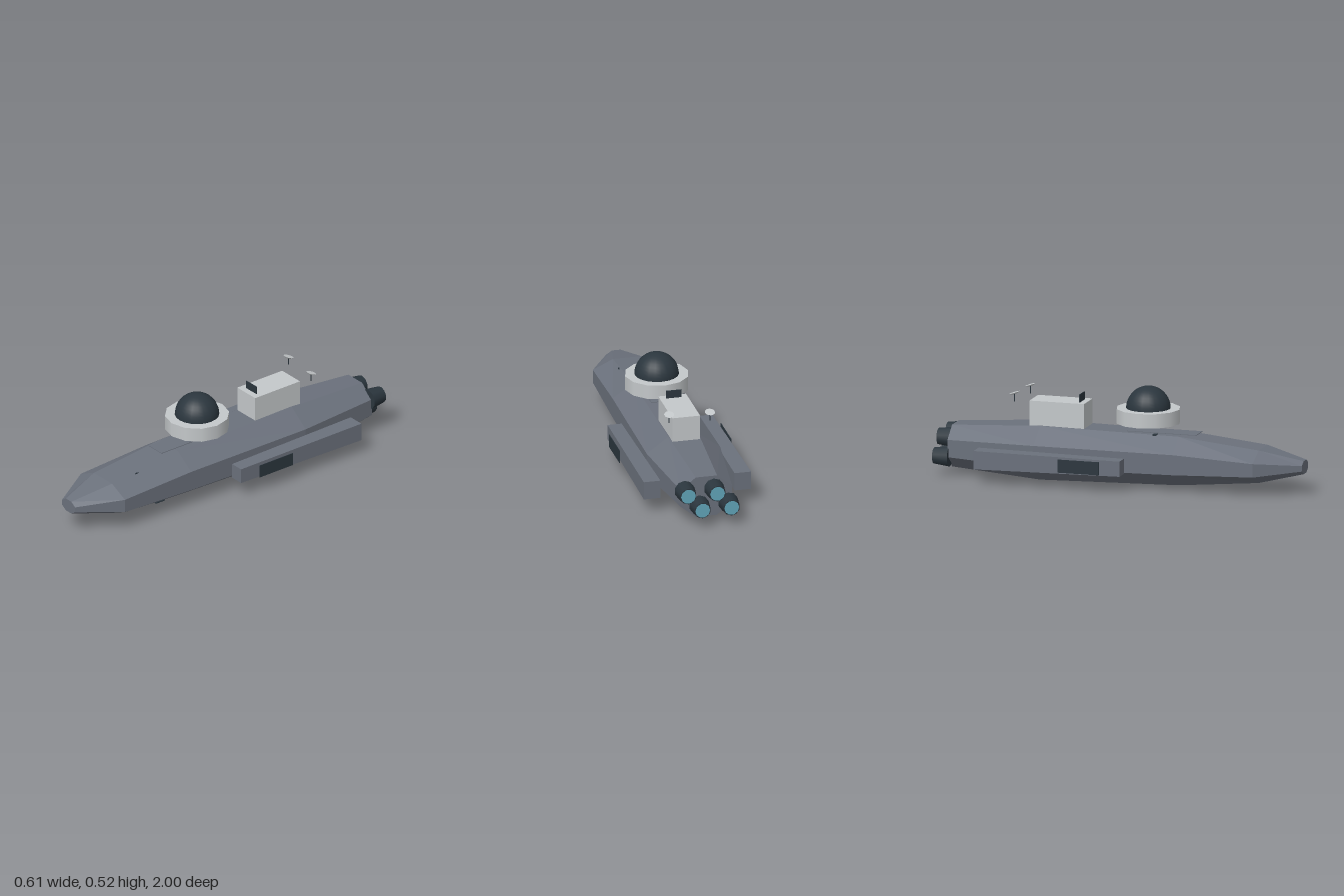
import * as THREE from 'three';

const mat = (name, color, side = THREE.FrontSide) => {
  const m = new THREE.MeshStandardMaterial({ color, side });
  m.name = name;
  return m;
};

// Joins rings of [x, y, z] points, ordered front to back, into a closed faceted body
function loft(rings) {
  const n = rings[0].length, idx = [], last = (rings.length - 1) * n;
  for (let s = 0; s < rings.length - 1; s++) {
    for (let i = 0; i < n; i++) {
      const a = s * n + i, b = s * n + (i + 1) % n, d = a + n, c = b + n;
      idx.push(a, d, b, b, d, c);
    }
  }
  for (let i = 1; i < n - 1; i++) {
    idx.push(0, i, i + 1, last, last + i + 1, last + i);
  }
  const g = new THREE.BufferGeometry();
  g.setAttribute('position', new THREE.Float32BufferAttribute(rings.flat(2), 3));
  g.setIndex(idx);
  const flat = g.toNonIndexed();
  flat.computeVertexNormals();
  return flat;
}

// Octagonal cross-section with flat top and sides
const octagon = ([z, w, h, cy]) => {
  const k = Math.SQRT2 - 1;
  return [[1, -k], [1, k], [k, 1], [-k, 1], [-1, k], [-1, -k], [-k, -1], [k, -1]]
    .map(([x, y]) => [x * w, cy + y * h, z]);
};

const rectangle = (x0, x1, y0, y1, z) => [[x1, y0, z], [x1, y1, z], [x0, y1, z], [x0, y0, z]];

export function createModel() {
  const group = new THREE.Group();
  const hullGrey = mat('hull grey', 0x6b717c);
  const lightGrey = mat('light grey', 0xc4c8ca);
  const dark = mat('dark glass', 0x2b363e);
  const teal = mat('engine glow teal', 0x62a6ba);

  const add = (name, geo, material, x = 0, y = 0, z = 0, parent = group) => {
    const m = new THREE.Mesh(geo, material);
    m.name = name;
    m.position.set(x, y, z);
    parent.add(m);
    return m;
  };
  const box = (name, w, h, d, material, x, y, z) =>
    add(name, new THREE.BoxGeometry(w, h, d), material, x, y, z);

  // Main body: z, half width, half height, centre height
  add('hull', loft([
    [1, 0.055, 0.035, 0.146],
    [0.77, 0.185, 0.087, 0.147],
    [0.33, 0.19, 0.13, 0.15],
    [-0.43, 0.198, 0.144, 0.146],
    [-0.92, 0.139, 0.112, 0.148],
  ].map(octagon)), hullGrey);

  // Side pods with a dark panel standing off each outer face
  for (const s of [1, -1]) {
    const c = s * 0.245;
    add(s > 0 ? 'leftPod' : 'rightPod', loft([
      rectangle(c - 0.038, c + 0.038, 0.09, 0.171, 0.07),
      rectangle(c - 0.045, c + 0.045, 0.08, 0.178, -0.73),
    ]), hullGrey);
    box(s > 0 ? 'leftPodPanel' : 'rightPodPanel', 0.003, 0.07, 0.225, dark, s * 0.302, 0.13, -0.15);
  }

  // Bridge block and its upright window
  box('bridge', 0.15, 0.14, 0.3, lightGrey, 0, 0.35, -0.34);
  box('bridgeWindow', 0.085, 0.045, 0.004, dark, 0, 0.44, -0.225);

  // Observation ring with dome
  add('ring', new THREE.CylinderGeometry(0.17, 0.17, 0.077, 12), lightGrey, 0, 0.3685, 0.14);
  add('dome', new THREE.SphereGeometry(0.117, 20, 10, 0, Math.PI * 2, 0, Math.PI / 2),
    dark, 0, 0.407, 0.14);

  // Deck hatch plate
  box('deckHatch', 0.108, 0.003, 0.38, hullGrey, 0, 0.287, 0.23);

  // Sensor dishes on short stems, tipped backwards
  for (const [x, z] of [[-0.11, -0.56], [0.105, -0.54]]) {
    const mast = new THREE.Group();
    mast.name = 'sensorDish';
    mast.position.set(x, 0.463, z);
    group.add(mast);
    add('dishPlate', new THREE.CylinderGeometry(0.027, 0.018, 0.007, 12), lightGrey, 0, 0, 0, mast)
      .rotation.x = -0.32;
    add('dishStem', new THREE.CylinderGeometry(0.003, 0.003, 0.042, 6), dark, 0, -0.023, 0, mast);
  }

  // Four staggered engine nozzles with glowing ends
  for (const [x, y] of [[0.117, 0.19], [-0.04, 0.19], [0.04, 0.102], [-0.117, 0.102]]) {
    add('engineNozzle', new THREE.CylinderGeometry(0.055, 0.044, 0.085, 10), dark, x, y, -0.9565)
      .rotation.x = Math.PI / 2;
    add('engineGlow', new THREE.CircleGeometry(0.04, 10), teal, x, y, -1)
      .rotation.y = Math.PI;
  }

  // Small hull fittings
  box('noseFitting', 0.018, 0.01, 0.02, dark, 0.078, 0.243, 0.61);
  box('deckFitting', 0.026, 0.008, 0.022, dark, -0.075, 0.281, 0.2);
  box('keelFitting', 0.02, 0.004, 0.06, dark, 0.06, 0.013, 0.44);

  return group;
}
